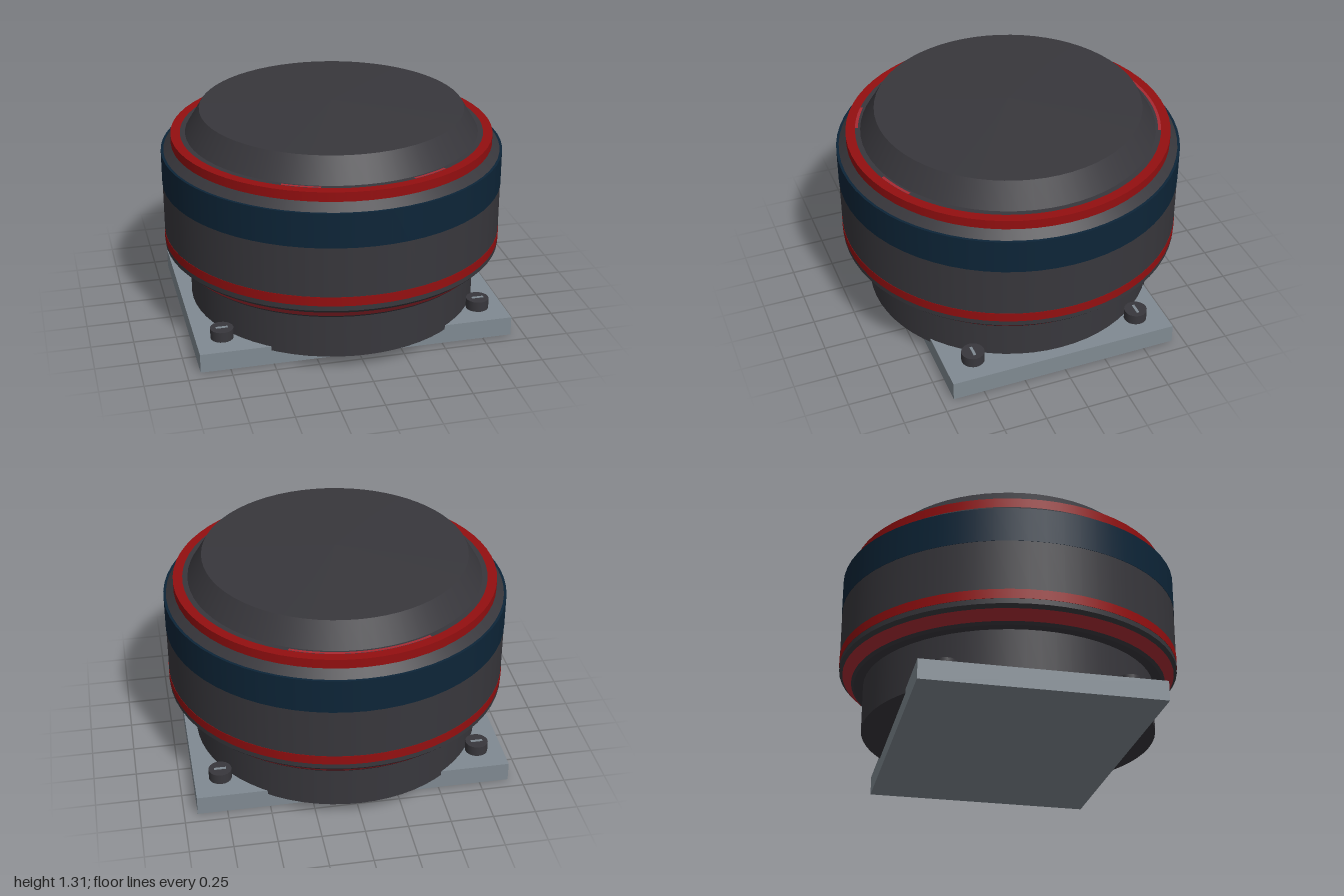
import * as THREE from 'three';

export function createModel() {
  const model = new THREE.Group();
  const mat = (name, color) => {
    const m = new THREE.MeshStandardMaterial({ color });
    m.name = name;
    return m;
  };
  const dark = mat('charcoal', 0x38373c);
  const red = mat('red', 0x940f10);
  const crimson = mat('crimson', 0xa82a33);
  const blue = mat('navy', 0x0d2538);
  const steel = mat('steel', 0x808a92);

  const add = (name, geometry, material, x = 0, y = 0, z = 0, parent = model) => {
    const mesh = new THREE.Mesh(geometry, material);
    mesh.name = name;
    mesh.position.set(x, y, z);
    parent.add(mesh);
    return mesh;
  };

  // Turned surface with hard edges: one lathe strip per [r, y] pair of neighbours
  const turned = (name, material, profile) => {
    const group = new THREE.Group();
    group.name = name;
    for (let i = 0; i + 1 < profile.length; i++) {
      const pts = [profile[i], profile[i + 1]].map(([r, y]) => new THREE.Vector2(r, y));
      add(name + 'Surface', new THREE.LatheGeometry(pts, 64), material, 0, 0, 0, group);
    }
    model.add(group);
  };

  // Mounting plate and pedestal
  add('mountingPlate', new THREE.BoxGeometry(1.845, 0.115, 1.365), steel, 0, 0.0575, 0);
  turned('pedestal', dark, [[0, 0.09], [0.855, 0.09], [0.855, 0.38]]);

  // Housing, from the lower chamfer upward
  turned('housingUnderside', dark, [[0.85, 0.375], [0.91, 0.375], [0.926, 0.39]]);
  turned('lowerChamferStripe', crimson, [[0.926, 0.39], [0.979, 0.44]]);
  turned('lowerRim', dark, [[0.979, 0.44], [0.998, 0.46], [0.998, 0.49]]);
  turned('lowerBand', red, [[0.998, 0.49], [1, 0.49], [1, 0.545], [0.998, 0.545]]);
  turned('housingWall', dark, [[0.998, 0.545], [0.998, 0.84]]);
  turned('upperBand', blue, [[0.998, 0.84], [1, 0.84], [1, 1.043], [0.985, 1.043]]);
  turned('shoulder', dark, [[0.985, 1.043], [0.935, 1.09], [0.92, 1.09]]);
  turned('topRing', red, [[0.92, 1.085], [0.94, 1.085], [0.94, 1.14], [0.885, 1.14]]);
  turned('capSeat', dark, [[0.885, 1.14], [0.855, 1.14]]);
  turned('cap', dark, [[0.855, 1.14], [0.77, 1.28], [0, 1.31]]);

  // Thin accent arcs just inside the top ring: [start angle, sweep]
  for (const [start, sweep] of [[1.11, 0.92], [-1.27, 0.25], [-2.12, 0.25]]) {
    const arc = new THREE.RingGeometry(0.868, 0.885, 16, 1, start, sweep);
    add('ringAccent', arc.rotateX(-Math.PI / 2), crimson, 0, 1.142, 0);
  }

  // Corner bolts with slotted heads
  for (const x of [-0.768, 0.768]) {
    for (const z of [-0.51, 0.51]) {
      const bolt = new THREE.Group();
      bolt.name = 'cornerBolt';
      bolt.position.set(x, 0.115, z);
      add('boltHead', new THREE.CylinderGeometry(0.067, 0.067, 0.062, 20), dark, 0, 0.031, 0, bolt);
      add('boltSlot', new THREE.BoxGeometry(0.07, 0.004, 0.016), steel, 0, 0.063, 0, bolt);
      model.add(bolt);
    }
  }
  return model;
}
